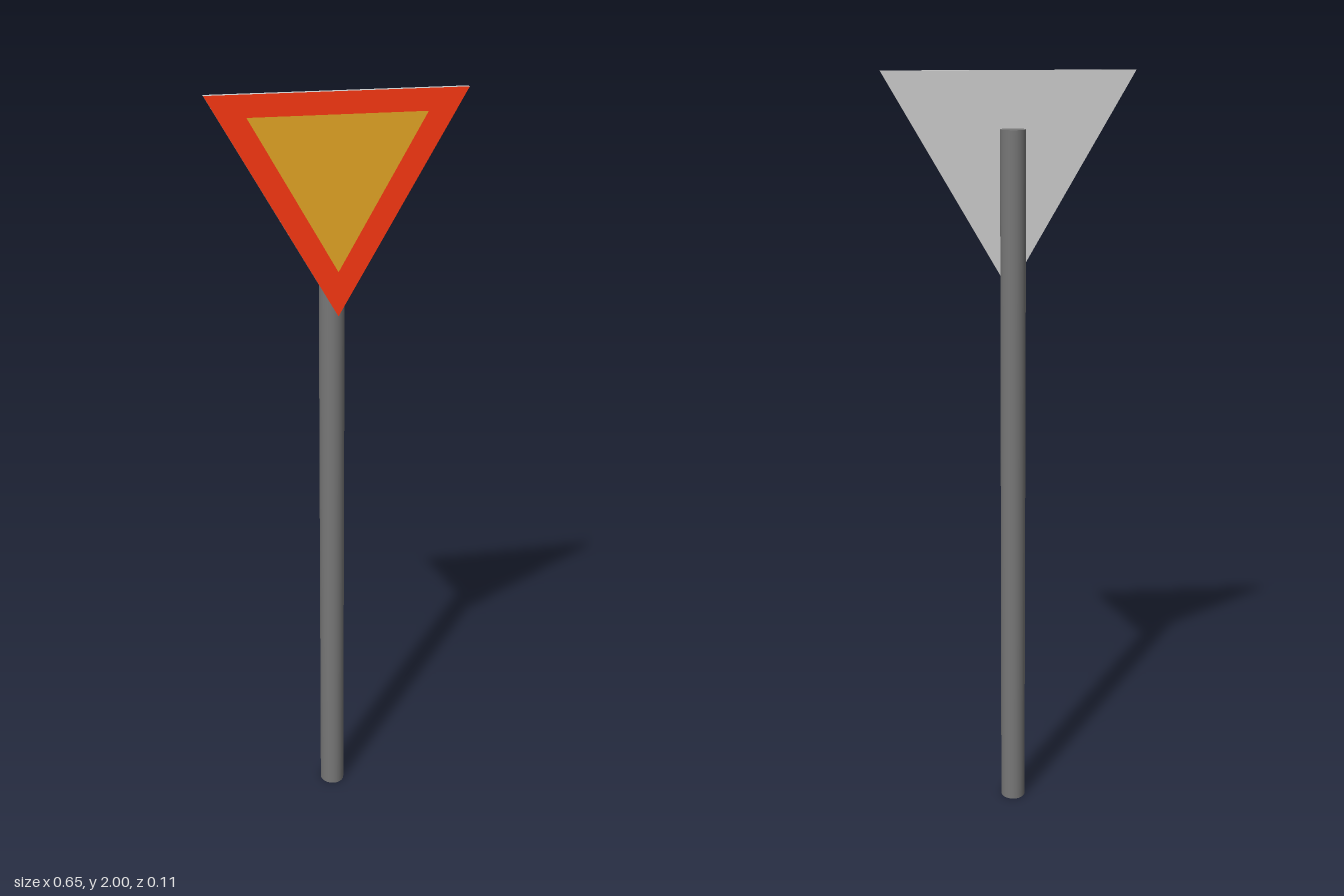
import * as THREE from 'three';

const BACK = 0.037, FRONT = 0.052;

const mat = (color) => new THREE.MeshStandardMaterial({ color });

// Downward-pointing triangle, counter-clockwise
const triangle = (halfWidth, top, tip) => [
  new THREE.Vector2(-halfWidth, top),
  new THREE.Vector2(0, tip),
  new THREE.Vector2(halfWidth, top),
];

export function createModel() {
  const group = new THREE.Group();
  const add = (name, geometry, color) => {
    const mesh = new THREE.Mesh(geometry, mat(color));
    mesh.name = name;
    group.add(mesh);
    return mesh;
  };

  const outer = triangle(0.327, 2, 1.437);
  const inner = triangle(0.225, 1.945, 1.553);

  // Slightly oval post behind the plate
  const height = 1.857;
  const post = add('post', new THREE.CylinderGeometry(1, 1, height, 32), 0x777777);
  post.scale.set(0.033, 1, 0.0375);
  post.position.set(-0.003, height / 2, -0.0155);

  // Thin metal plate
  const plate = add('signPlate', new THREE.ExtrudeGeometry(new THREE.Shape(outer), {
    depth: FRONT - BACK - 0.0005, bevelEnabled: false,
  }), 0xcccccc);
  plate.position.z = BACK;

  // Painted face: red border around a yellow centre
  const borderShape = new THREE.Shape(outer);
  borderShape.holes.push(new THREE.Path([...inner].reverse()));
  const border = add('signBorder', new THREE.ShapeGeometry(borderShape), 0xfa3812);
  const centre = add('signCentre', new THREE.ShapeGeometry(new THREE.Shape(inner)), 0xe4a625);
  border.position.z = centre.position.z = FRONT;

  return group;
}
